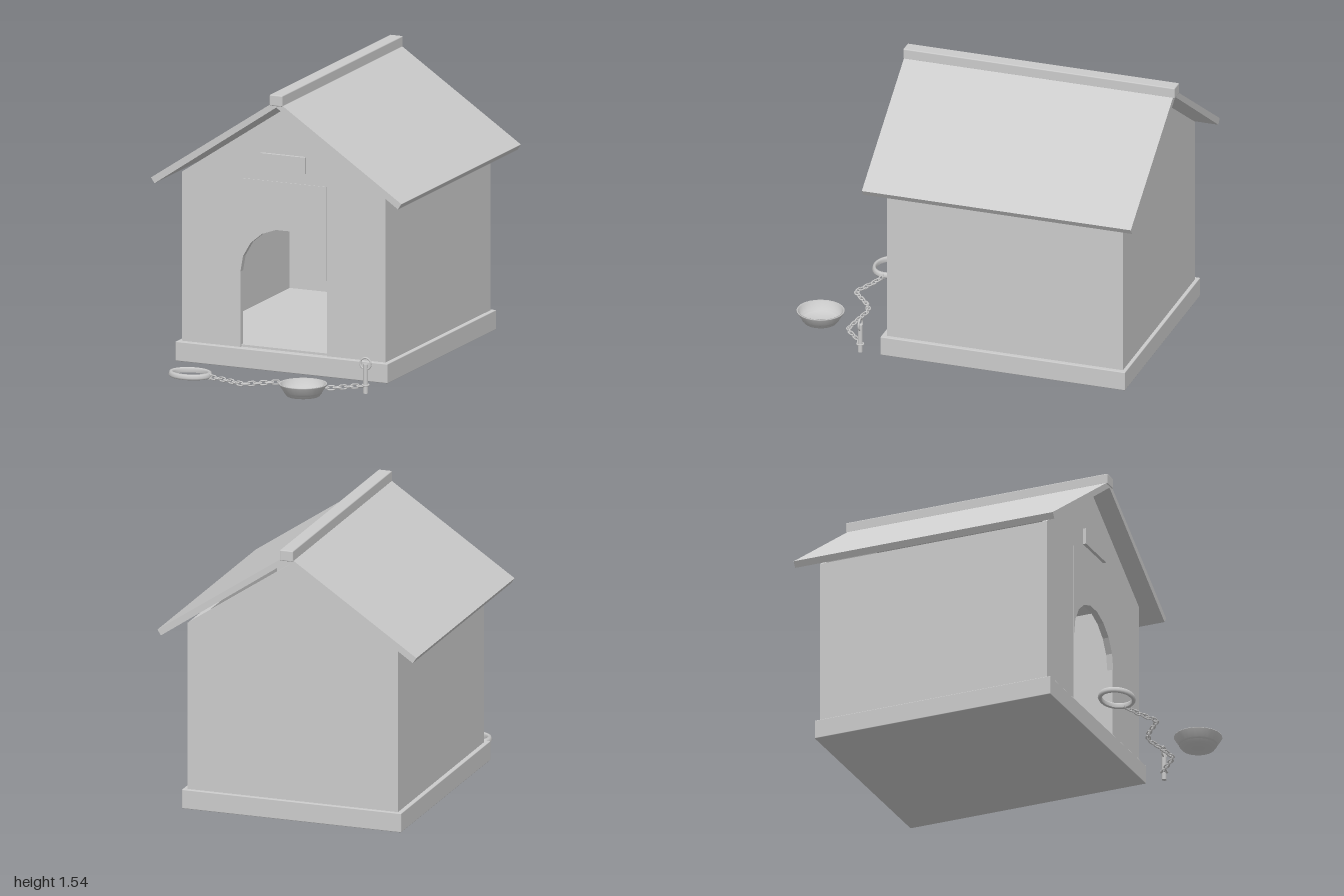
import * as THREE from 'three';
import { RoundedBoxGeometry } from 'three/addons/geometries/RoundedBoxGeometry.js';

const grey = new THREE.MeshStandardMaterial({ color: 0xcccccc, side: THREE.DoubleSide });

export function createModel() {
  const model = new THREE.Group();

  const add = (name, geometry, x = 0, y = 0, z = 0, parent = model) => {
    const mesh = new THREE.Mesh(geometry, grey);
    mesh.name = name;
    mesh.position.set(x, y, z);
    parent.add(mesh);
    return mesh;
  };
  // box given by its limits
  const box = (name, x0, x1, y0, y1, z0, z1) =>
    add(name, new THREE.BoxGeometry(x1 - x0, y1 - y0, z1 - z0), (x0 + x1) / 2, (y0 + y1) / 2, (z0 + z1) / 2);
  // outline in x and y, extruded from z0 to z1
  const panel = (name, points, z0, z1) => {
    const shape = new THREE.Shape(points.map(([x, y]) => new THREE.Vector2(x, y)));
    return add(name, new THREE.ExtrudeGeometry(shape, { depth: z1 - z0, bevelEnabled: false }), 0, 0, z0);
  };

  // Base and floor
  add('base', new RoundedBoxGeometry(1.23, 0.105, 1.36, 1, 0.004), 0, 0.0825, -0.24);
  box('floor', -0.56, 0.56, 0.13, 0.147, -0.87, 0.4);

  // Walls
  const wall = 0.59, eave = 1.05, sill = 0.135, front = 0.41, back = -0.9, thick = 0.03;
  box('backWall', -wall, wall, sill, eave, back, back + thick);
  for (const s of [-1, 1]) {
    const side = s * (wall - thick / 2), panelX = s * (wall + 0.25) / 2;
    box('sideWall', side - thick / 2, side + thick / 2, sill, eave, back + thick, front - thick);
    box('frontWallPanel', panelX - 0.17, panelX + 0.17, sill, eave, front - thick, front);
  }

  // Arched lintel over the doorway
  const lintel = [[0.25, eave], [-0.25, eave]];
  for (let i = 9; i >= 0; i--) {
    const a = i * Math.PI / 9;
    lintel.push([0.25 * Math.cos(a), 0.543 + 0.25 * Math.sin(a)]);
  }
  panel('doorLintel', lintel, front - thick, front + 0.004);

  // Gables
  const gable = [[-wall, eave], [wall, eave], [0, 1.445]];
  panel('frontGable', gable, front - thick, front);
  panel('backGable', gable, back, back + thick);
  box('namePlate', -0.13, 0.13, 1.11, 1.2, front, front + 0.018);

  // Roof
  for (const s of [-1, 1]) {
    const slope = [[0, 1.475], [0.706, 0.995], [0.726, 1.025], [0, 1.512]];
    panel('roofSlope', slope.map(([x, y]) => [s * x, y]), -0.99, 0.505);
  }
  add('ridgeCap', new RoundedBoxGeometry(0.076, 0.06, 1.51, 1, 0.006), 0, 1.512, -0.245);

  // Food bowl
  const bowl = [[0, 0.03], [0.088, 0.03], [0.128, 0.092], [0.126, 0.096], [0.117, 0.094], [0.1, 0.045], [0, 0.045]];
  const bowlGeometry = new THREE.LatheGeometry(bowl.map(([r, y]) => new THREE.Vector2(r, y)), 24);
  add('bowl', bowlGeometry, 0.325, 0, 0.87);

  // Collar: flat band with slanted sides
  const collar = [[0.097, 0.032], [0.113, 0.03], [0.12, 0.04], [0.113, 0.058], [0.102, 0.06], [0.094, 0.05], [0.097, 0.032]];
  const collarGeometry = new THREE.LatheGeometry(collar.map(([r, y]) => new THREE.Vector2(r, y)), 28);
  collarGeometry.scale(1, 1, 0.8);
  add('collar', collarGeometry, -0.395, 0, 0.725);
  add('collarLoop', new THREE.TorusGeometry(0.014, 0.005, 6, 12), -0.285, 0.04, 0.728);

  // Chain of alternating links lying on the ground
  const path = new THREE.CatmullRomCurve3([
    [-0.275, 0.73], [-0.2, 0.75], [-0.12, 0.78], [-0.06, 0.8], [0, 0.757], [0.07, 0.7], [0.14, 0.671],
    [0.23, 0.681], [0.33, 0.692], [0.39, 0.692], [0.45, 0.645], [0.5, 0.6], [0.542, 0.575],
  ].map(([x, z]) => new THREE.Vector3(x, 0.039, z)));
  const outline = [];
  for (let i = 0; i < 12; i++) {
    const a = i * Math.PI / 6;
    outline.push(new THREE.Vector3(0.011 * Math.cos(a) + 0.011 * Math.sign(Math.round(Math.cos(a) * 10)), 0.011 * Math.sin(a), 0));
  }
  const link = new THREE.TubeGeometry(new THREE.CatmullRomCurve3(outline, true), 20, 0.0042, 6, true);
  const chain = new THREE.Group();
  chain.name = 'chain';
  model.add(chain);
  const count = 28;
  for (let i = 0; i < count; i++) {
    const u = (i + 0.5) / count, p = path.getPointAt(u), t = path.getTangentAt(u);
    const mesh = add('chainLink', link, p.x, p.y, p.z, chain);
    mesh.rotation.order = 'YXZ';
    mesh.rotation.set(i % 2 ? Math.PI / 2 : 0, Math.atan2(-t.z, t.x), 0);
  }

  // Ground stake with its ring
  add('stake', new THREE.CylinderGeometry(0.013, 0.013, 0.158, 12), 0.55, 0.079, 0.573);
  add('stakeRing', new THREE.TorusGeometry(0.031, 0.005, 8, 20), 0.55, 0.16, 0.573);
  const collarOfStake = add('stakeChainLoop', new THREE.TorusGeometry(0.017, 0.005, 6, 16), 0.55, 0.045, 0.573);
  collarOfStake.rotation.x = Math.PI / 2;

  return model;
}
